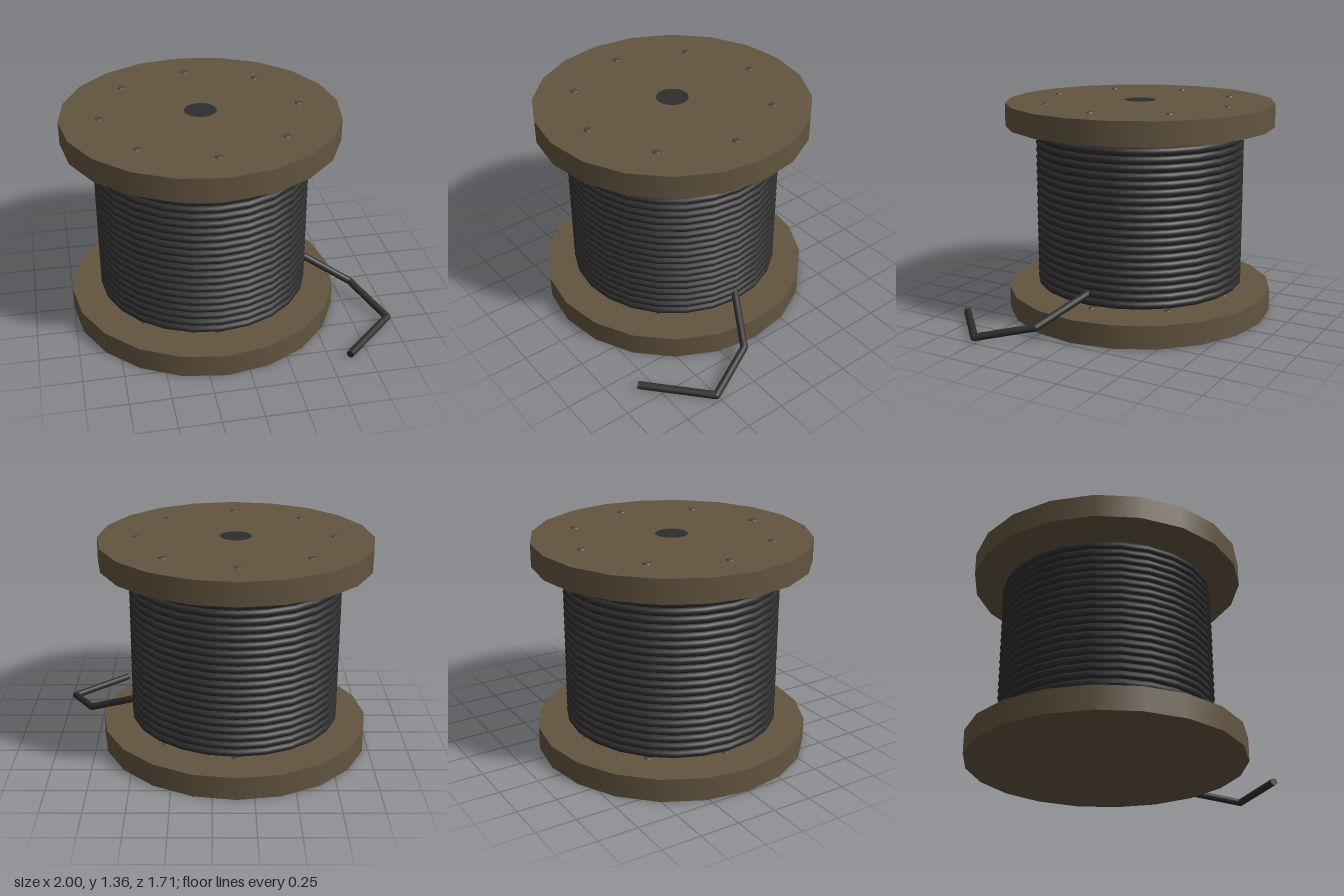
import * as THREE from 'three';

export function createModel() {
  const model = new THREE.Group();
  model.name = 'cableReel';
  const material = (name, color) => {
    const m = new THREE.MeshStandardMaterial({ color });
    m.name = name;
    return m;
  };
  const wood = material('brownWood', 0x62543f);
  const rubber = material('blackRubber', 0x2d2d2d);
  const bolt = material('darkBolt', 0x4f4333);

  const add = (parent, name, geometry, mat, x, y, z) => {
    const mesh = new THREE.Mesh(geometry, mat);
    mesh.name = name;
    mesh.position.set(x, y, z);
    parent.add(mesh);
    return mesh;
  };

  // Spool, offset to leave room for the loose cable end
  const spool = new THREE.Group();
  spool.name = 'spool';
  spool.position.x = -0.144;
  model.add(spool);

  const flange = new THREE.CylinderGeometry(0.856, 0.856, 0.145, 20);
  add(spool, 'bottomFlange', flange, wood, 0, 0.0725, 0);
  add(spool, 'topFlange', flange, wood, 0, 1.2775, 0);
  add(spool, 'core', new THREE.CylinderGeometry(0.352, 0.352, 1.06, 20), wood, 0, 0.675, 0);

  // Dark axle hole on top
  const hole = add(spool, 'axleHole', new THREE.CircleGeometry(0.1, 24), rubber, 0, 1.357, 0);
  hole.rotation.x = -Math.PI / 2;

  // Ring of bolt heads on the upper face of each flange
  const boltHead = new THREE.CylinderGeometry(0.02, 0.026, 0.009, 8);
  for (const y of [0.148, 1.353]) {
    for (let i = 0; i < 8; i++) {
      const a = (i * Math.PI) / 4;
      add(spool, 'boltHead', boltHead, bolt, 0.612 * Math.cos(a), y, 0.612 * Math.sin(a));
    }
  }

  // Wound cable
  const winding = new THREE.TorusGeometry(0.644, 0.0258, 10, 24);
  for (let i = 0; i < 20; i++) {
    add(spool, 'cableWinding', winding, rubber, 0, 0.2 + i * 0.0493, 0).rotation.x = Math.PI / 2;
  }

  // Loose cable end with sharp bends
  const tail = new THREE.Group();
  tail.name = 'looseCable';
  model.add(tail);
  const r = 0.0235;
  const path = [
    [0.5, 0.253, 0], [0.82, 0.1, 0.18], [0.973, 0.027, 0.518], [0.627, 0.027, 0.838],
  ].map((p) => new THREE.Vector3(...p));
  const up = new THREE.Vector3(0, 1, 0);
  for (let i = 0; i < path.length - 1; i++) {
    const dir = path[i + 1].clone().sub(path[i]);
    const mid = path[i].clone().add(path[i + 1]).multiplyScalar(0.5);
    const length = dir.length();
    const segment = add(tail, 'cableSegment', new THREE.CylinderGeometry(r, r, length, 12), rubber, mid.x, mid.y, mid.z);
    segment.quaternion.setFromUnitVectors(up, dir.normalize());
    if (i > 0) add(tail, 'cableBend', new THREE.SphereGeometry(r, 12, 8), rubber, ...path[i].toArray());
  }
  return model;
}
